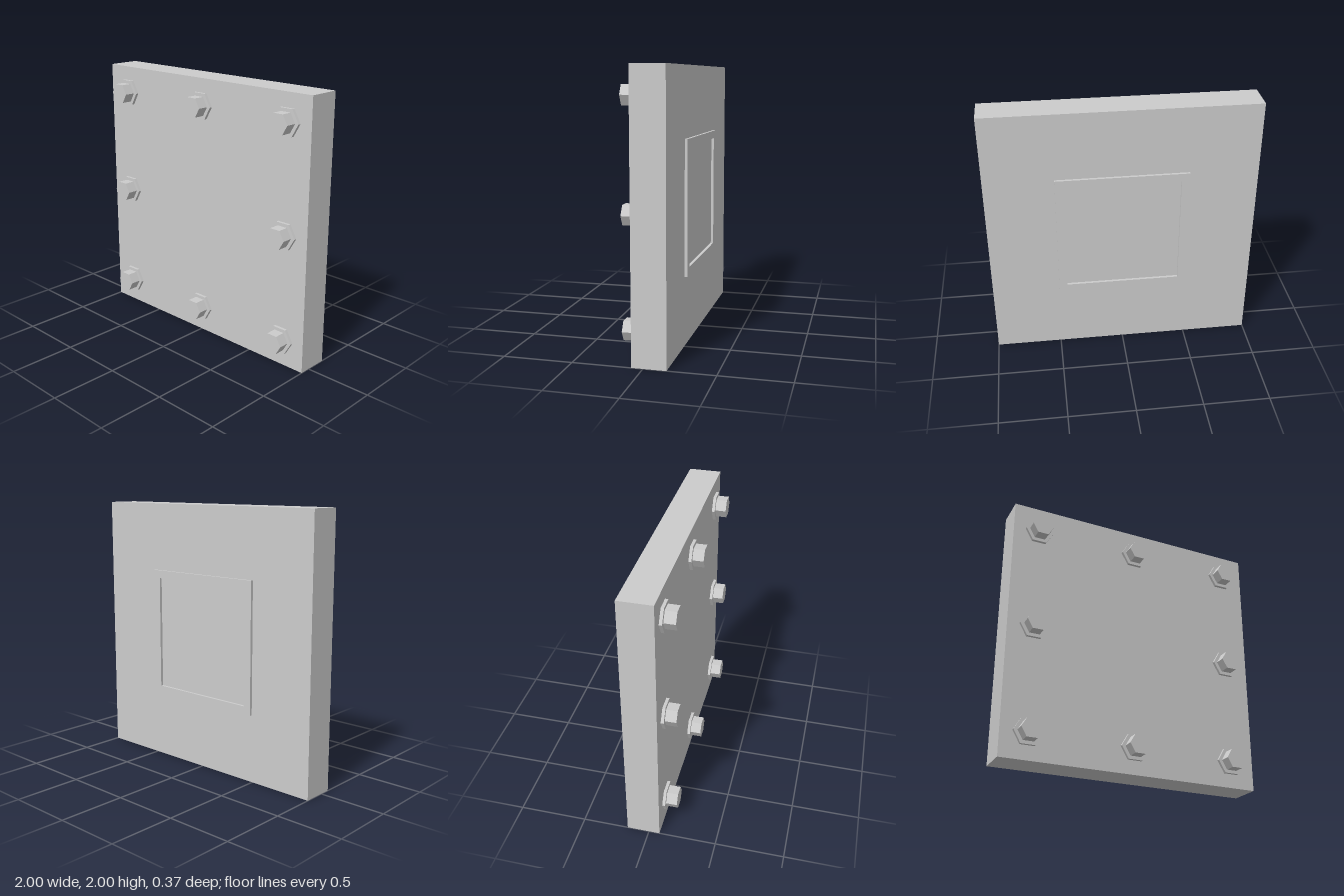
import * as THREE from 'three';

const BACK = -0.163, FACE = 0.08;

// Hexagonal prism along z with corners pointing left and right
function hexPrism(radius, z0, z1) {
  const g = new THREE.CylinderGeometry(radius, radius, z1 - z0, 6).toNonIndexed();
  g.rotateX(Math.PI / 2).rotateZ(Math.PI / 2).translate(0, 0, (z0 + z1) / 2);
  g.computeVertexNormals();
  return g;
}

function square(path, h) {
  path.moveTo(-h, -h);
  path.lineTo(h, -h);
  path.lineTo(h, h);
  path.lineTo(-h, h);
  path.closePath();
  return path;
}

export function createModel() {
  const model = new THREE.Group();
  model.name = 'boltedPanel';
  const steel = new THREE.MeshStandardMaterial({ color: 0xcccccc });
  steel.name = 'lightGrey';

  const add = (parent, name, geometry) => {
    const mesh = new THREE.Mesh(geometry, steel);
    mesh.name = name;
    parent.add(mesh);
    return mesh;
  };

  // Main slab
  add(model, 'panel', new THREE.BoxGeometry(2, 2, FACE - BACK))
    .position.set(0, 1, (FACE + BACK) / 2);

  // Raised square rim on the back
  const rim = square(new THREE.Shape(), 0.49);
  rim.holes.push(square(new THREE.Path(), 0.43));
  add(model, 'backRim', new THREE.ExtrudeGeometry(rim, { depth: 0.02, bevelEnabled: false }))
    .position.set(0, 1, -0.183);

  // Eight bolts around the front, none in the middle
  const washer = hexPrism(0.108, FACE, 0.102);
  const head = hexPrism(0.08, 0.102, 0.183);
  for (const x of [-0.8, 0, 0.8]) {
    for (const y of [0.2, 1, 1.8]) {
      if (x === 0 && y === 1) continue;
      const bolt = new THREE.Group();
      bolt.name = 'bolt';
      bolt.position.set(x, y, 0);
      add(bolt, 'boltWasher', washer);
      add(bolt, 'boltHead', head);
      model.add(bolt);
    }
  }
  return model;
}
